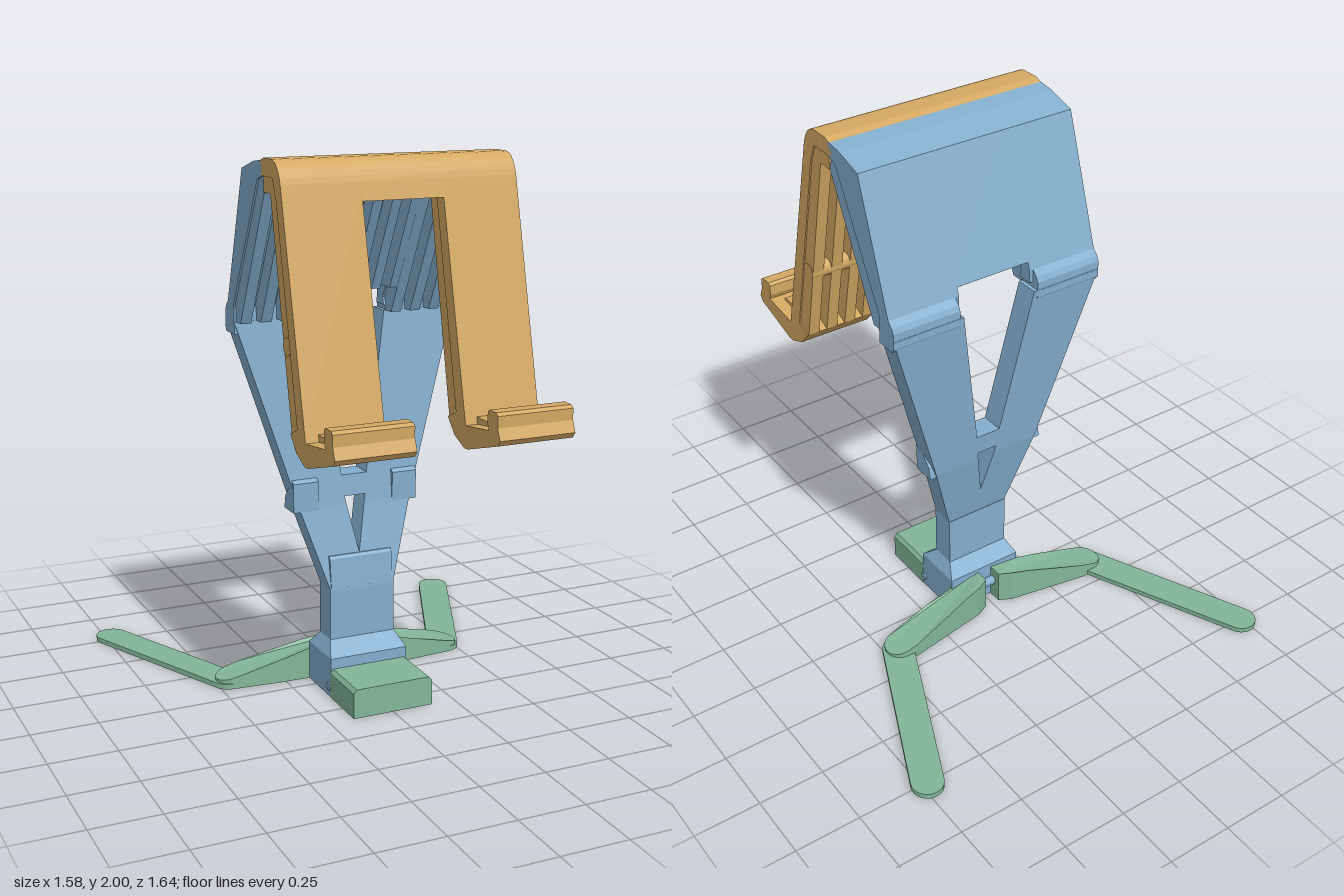
import * as THREE from 'three';

const mat = (name, color) => {
  const m = new THREE.MeshStandardMaterial({ color });
  m.name = name;
  return m;
};

export function createModel() {
  const root = new THREE.Group();
  const orange = mat('orange', 0xd4a862);
  const blue = mat('blue', 0x84aece);
  const green = mat('green', 0x82b698);

  const add = (name, geometry, material, parent = root) => {
    const m = new THREE.Mesh(geometry, material);
    m.name = name;
    parent.add(m);
    return m;
  };
  const group = (name) => {
    const g = new THREE.Group();
    g.name = name;
    root.add(g);
    return g;
  };
  const poly = (pts) => new THREE.Shape(pts.map(([a, b]) => new THREE.Vector2(a, b)));
  const extrude = (shape, depth) =>
    new THREE.ExtrudeGeometry(shape, { depth, bevelEnabled: false, curveSegments: 10 });
  // side profile given as (z, y), swept from x0 to x1
  const sweep = (pts, x0, x1) => extrude(poly(pts), x1 - x0).rotateY(-Math.PI / 2).translate(x1, 0, 0);
  const box = (x0, x1, y0, y1, z0, z1) =>
    new THREE.BoxGeometry(x1 - x0, y1 - y0, z1 - z0)
      .translate((x0 + x1) / 2, (y0 + y1) / 2, (z0 + z1) / 2);
  const pin = (x0, x1, y, z, r) =>
    new THREE.CylinderGeometry(r, r, x1 - x0, 16).rotateZ(Math.PI / 2).translate((x0 + x1) / 2, y, z);
  // points of a rounded corner from a to b around control c
  const bend = (a, c, b) =>
    new THREE.QuadraticBezierCurve(...[a, c, b].map((p) => new THREE.Vector2(...p)))
      .getPoints(8).map((p) => [p.x, p.y]);
  const span = (s, a, b) => (s > 0 ? [a, b] : [-b, -a]);

  // ---- Orange cradle: two hooked arms joined by a bridge ----
  const cradle = group('cradle');
  const crown = [[0.2, 1.95], [0.215, 1.99], [0.245, 2], ...bend([0.31, 2], [0.375, 2], [0.395, 1.9])];
  const armSkin = [
    ...crown, [0.585, 1.11], [0.745, 1.13], [0.735, 1.15], [0.735, 1.19], [0.745, 1.2],
    [0.79, 1.2], [0.803, 1.19], [0.803, 1.15], [0.82, 1.11], [0.805, 1.09], [0.6, 1.03], [0.575, 1.03],
    [0.505, 1.06], [0.456, 1.114], [0.515, 1.14], [0.35, 1.87], [0.32, 1.94], [0.23, 1.94],
  ];
  const armRib = [
    [0.23, 1.95], [0.33, 1.95], [0.36, 1.88], [0.53, 1.12], [0.456, 1.114], [0.29, 1.885], [0.23, 1.885],
  ];
  const bridgeSkin = [...crown, [0.405, 1.86], [0.35, 1.86], [0.32, 1.94], [0.23, 1.94]];
  const bridgeRib = [[0.23, 1.95], [0.33, 1.95], [0.355, 1.87], [0.3, 1.87], [0.29, 1.885], [0.23, 1.885]];
  add('bridge', sweep(bridgeSkin, -0.15, 0.15), orange, cradle);
  for (let i = -2; i <= 2; i++) {
    add('bridgeRib', sweep(bridgeRib, i * 0.066 - 0.02, i * 0.066 + 0.02), orange, cradle);
  }
  for (const s of [1, -1]) {
    add('arm', sweep(armSkin, ...span(s, 0.15, 0.436)), orange, cradle);
    for (let i = 0; i < 4; i++) {
      const c = 0.178 + i * 0.077;
      add('armRib', sweep(armRib, ...span(s, c - 0.022, c + 0.022)), orange, cradle);
    }
    add('armHinge', pin(...span(s, 0.155, 0.433), 1.4, 0.425, 0.032), orange, cradle);
    add('hookPad', box(...span(s, 0.195, 0.388), 1.09, 1.135, 0.58, 0.71), orange, cradle);
  }

  // ---- Blue back panel with ribbed underside ----
  const panel = group('backPanel');
  const panelTop = [[0.25, 1.995], [0.15, 1.982], [0.04, 1.95]];
  const sideSkin = [...panelTop, [-0.12, 1.47], [-0.12, 1.42], [-0.06, 1.42], [-0.07, 1.45],
    [0.185, 1.925], [0.235, 1.94]];
  const sideRib = [[0.2, 1.96], [-0.09, 1.45], [-0.06, 1.4], [-0.015, 1.4], [0.235, 1.89]];
  const midSkin = [...panelTop, [-0.11, 1.5], [-0.043, 1.5], [0.185, 1.925], [0.235, 1.94]];
  const midRib = [[0.2, 1.96], [-0.06, 1.5], [0.035, 1.5], [0.235, 1.89]];
  add('panelCentre', sweep(midSkin, -0.15, 0.15), blue, panel);
  for (let i = -2; i <= 2; i++) {
    add('panelRib', sweep(midRib, i * 0.073 - 0.018, i * 0.073 + 0.018), blue, panel);
  }
  const hinge = [[-0.06, 1.45], [-0.115, 1.475], [-0.14, 1.45], [-0.15, 1.43], [-0.15, 1.37],
    [-0.14, 1.355], [-0.06, 1.355]];
  for (const s of [1, -1]) {
    add('panelSide', sweep(sideSkin, ...span(s, 0.15, 0.436)), blue, panel);
    for (let i = 0; i < 4; i++) {
      const c = 0.178 + i * 0.077;
      add('panelRib', sweep(sideRib, ...span(s, c - 0.02, c + 0.02)), blue, panel);
    }
    add('panelHinge', sweep(hinge, ...span(s, 0.165, 0.436)), blue, panel);
  }

  // ---- Blue Y-shaped stand: flat outlines leaned backwards ----
  const stand = group('stand');
  const lean = (pts, y0, z0, y1, z1) => {
    const g = extrude(poly(pts), 0.092);
    const p = g.attributes.position;
    for (let i = 0; i < p.count; i++) {
      p.setZ(i, p.getZ(i) - 0.046 + z0 + (z1 - z0) * (p.getY(i) - y0) / (y1 - y0));
    }
    g.computeVertexNormals();
    return g;
  };
  add('upperFork', lean([
    [0.036, 0.7], [0.223, 0.7], [0.436, 1.4], [0.15, 1.4], [0.05, 0.81],
    [-0.05, 0.81], [-0.15, 1.4], [-0.436, 1.4], [-0.223, 0.7], [-0.036, 0.7],
    [-0.042, 0.73], [0.042, 0.73],
  ], 0.7, -0.028, 1.4, -0.105), blue, stand);
  add('lowerFork', lean([
    [-0.13, 0.4], [0.13, 0.4], [0.223, 0.7], [0.036, 0.7], [0, 0.52], [-0.036, 0.7], [-0.223, 0.7],
  ], 0.4, 0.032, 0.7, -0.028), blue, stand);
  const knee = [[0.02, 0.69], [0.022, 0.8], [0.005, 0.812], [-0.06, 0.74], [-0.07, 0.69]];
  for (const s of [1, -1]) {
    add('kneeHinge', sweep(knee, ...span(s, 0.15, 0.248)), blue, stand);
  }
  add('column', box(-0.13, 0.13, 0.2, 0.4, -0.016, 0.08), blue, stand);
  add('frontPlate', sweep([[0.03, 0.39], [0.081, 0.39], [0.068, 0.51], [0.06, 0.52], [0.03, 0.52]],
    -0.125, 0.125), blue, stand);

  // ---- Blue socket at the foot of the column ----
  const socket = group('socket');
  add('socketBlock', box(-0.155, 0.155, 0, 0.15, -0.065, 0.14), blue, socket);
  const collar = box(-0.155, 0.155, 0.15, 0.202, -0.065, 0.14);
  const cp = collar.attributes.position;
  for (let i = 0; i < cp.count; i++) {
    if (cp.getY(i) > 0.18) {
      cp.setX(i, Math.sign(cp.getX(i)) * 0.13);
      cp.setZ(i, cp.getZ(i) > 0 ? 0.08 : -0.016);
    }
  }
  collar.computeVertexNormals();
  add('socketCollar', collar, blue, socket);
  add('frontPin', pin(-0.12, 0.12, 0.08, 0.15, 0.018), blue, socket);
  add('rearPin', pin(-0.12, 0.12, 0.08, -0.08, 0.018), blue, socket);
  for (const s of [1, -1]) add('sidePin', pin(...span(s, 0.15, 0.162), 0.04, 0.13, 0.016), blue, socket);

  // ---- Green feet: front block and two folding rear legs ----
  const feet = group('feet');
  const block = extrude(poly([[-0.157, 0], [0.157, 0], [0.157, 0.095], [0.145, 0.11],
    [-0.145, 0.11], [-0.157, 0.095]]), 0.21).translate(0, 0, 0.14);
  add('frontFoot', block, green, feet);
  // plan outline as (x, -z), raised from the ground
  const slab = (pts, h) => extrude(poly(pts), h).rotateX(-Math.PI / 2);
  const arc = (cx, cy, r, a0, a1) => Array.from({ length: 13 }, (_, i) => {
    const a = a0 + (a1 - a0) * i / 12;
    return [cx + r * Math.cos(a), cy + r * Math.sin(a)];
  });
  const height = (x) => (x < 0.1 ? 0.135 : Math.max(0.025, 0.135 - (x - 0.1) * 0.26));
  const dir = Math.atan2(0.63, 0.27);
  for (const s of [1, -1]) {
    const mirror = (pts) => pts.map(([x, y]) => [x * s, y]);
    const leg = slab(mirror([
      [0.03, 0.062], [0.15, 0.062], [0.28, 0.066], ...arc(0.445, 0.14, 0.06, -1.5, 1.5),
      [0.4, 0.2], [0.28, 0.18], [0.15, 0.157], [0.08, 0.145], [0.03, 0.12],
    ]), 0.1);
    const p = leg.attributes.position;
    for (let i = 0; i < p.count; i++) {
      if (p.getY(i) > 0.05) p.setY(i, height(Math.abs(p.getX(i))));
    }
    leg.computeVertexNormals();
    add('rearLeg', leg, green, feet);
    add('rearToe', slab(mirror([
      ...arc(0.455, 0.14, 0.06, dir + Math.PI / 2, dir + Math.PI * 1.5),
      ...arc(0.731, 0.762, 0.06, dir - Math.PI / 2, dir + Math.PI / 2),
    ]), 0.02), green, feet);
  }
  return root;
}
